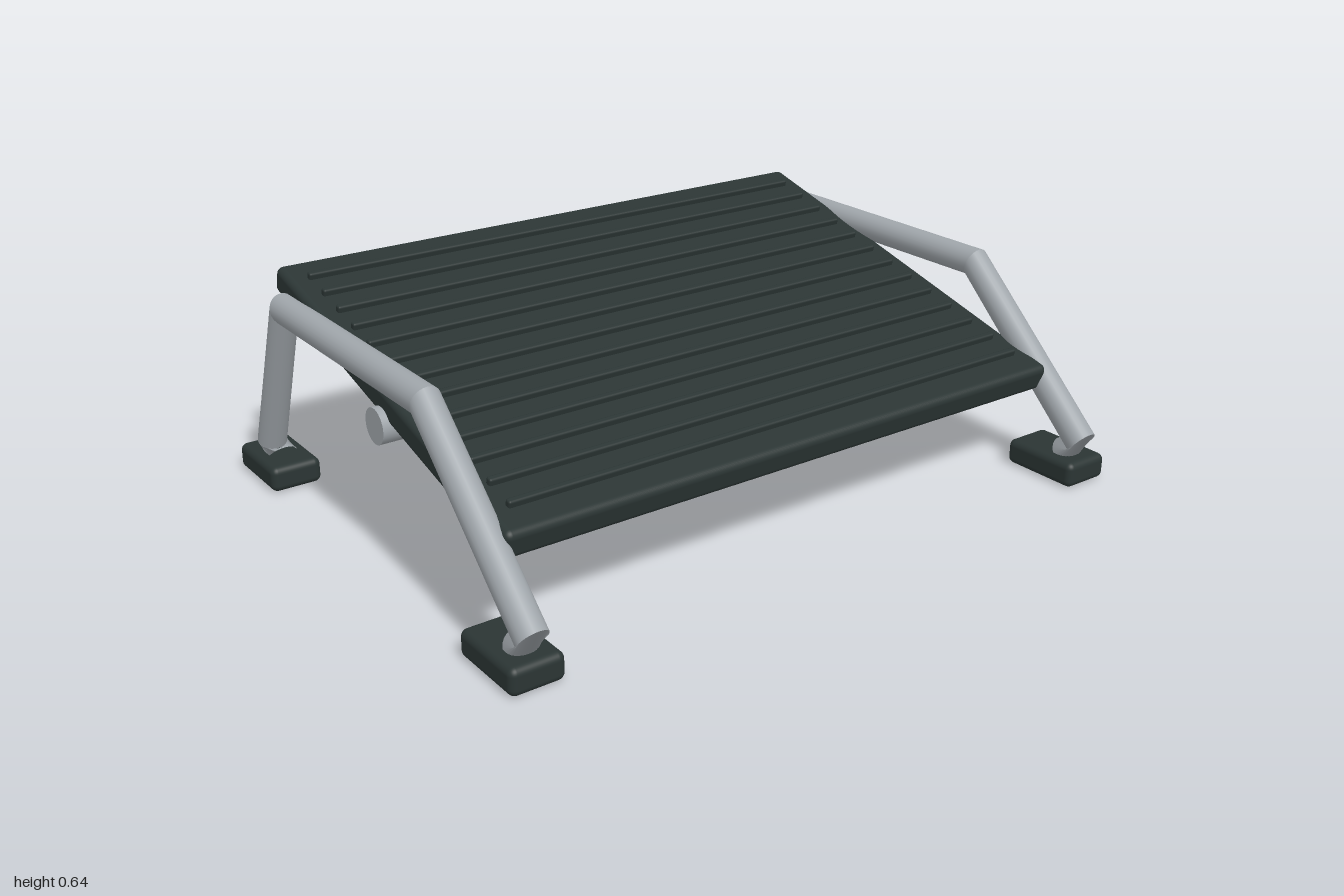
import * as THREE from 'three';
import { RoundedBoxGeometry } from 'three/addons/geometries/RoundedBoxGeometry.js';

const rubber = new THREE.MeshStandardMaterial({ color: 0x2b3534 });
rubber.name = 'dark rubber';
const steel = new THREE.MeshStandardMaterial({ color: 0xa0a6ab, side: THREE.DoubleSide });
steel.name = 'grey steel';

function add(parent, name, geometry, material, x = 0, y = 0, z = 0) {
  const mesh = new THREE.Mesh(geometry, material);
  mesh.name = name;
  mesh.position.set(x, y, z);
  parent.add(mesh);
  return mesh;
}

// Round pipe in the yz plane; each section is [z, y] of its two opposite edge points
function pipeSection(a, b, radius, sides = 24) {
  const pos = [], normals = [], index = [];
  const axis = new THREE.Vector2((b[0][0] + b[1][0] - a[0][0] - a[1][0]) / 2,
    (b[0][1] + b[1][1] - a[0][1] - a[1][1]) / 2).normalize();
  const across = new THREE.Vector2(-axis.y, axis.x);
  const half = new THREE.Vector2(a[0][0] - a[1][0], a[0][1] - a[1][1]);
  if (across.dot(half) < 0) across.negate();
  for (const [outer, inner] of [a, b]) {
    for (let i = 0; i <= sides; i++) {
      const t = (i / sides) * Math.PI * 2, c = Math.cos(t), s = Math.sin(t);
      const k = (1 + c) / 2;
      pos.push(radius * s, inner[1] + (outer[1] - inner[1]) * k, inner[0] + (outer[0] - inner[0]) * k);
      normals.push(s, across.y * c, across.x * c);
    }
  }
  // Keep the outside facing outward whichever way the section runs
  const flip = across.x * axis.y - across.y * axis.x > 0;
  for (let i = 0; i < sides; i++) {
    const p = i, q = i + 1, r = i + sides + 1, u = i + sides + 2;
    if (flip) index.push(p, r, q, q, r, u);
    else index.push(p, q, r, q, u, r);
  }
  const g = new THREE.BufferGeometry();
  g.setAttribute('position', new THREE.Float32BufferAttribute(pos, 3));
  g.setAttribute('normal', new THREE.Float32BufferAttribute(normals, 3));
  g.setIndex(index);
  return g;
}

export function createModel() {
  const model = new THREE.Group();
  model.name = 'footrest';

  // Tilted platform with anti-slip ridges
  const platform = new THREE.Group();
  platform.name = 'platform';
  platform.position.set(0, 0.448, -0.007);
  platform.rotation.x = Math.PI / 12;
  model.add(platform);
  add(platform, 'board', new RoundedBoxGeometry(1.81, 0.08, 1.27, 4, 0.02), rubber);
  const ridge = new RoundedBoxGeometry(1.7, 0.03, 0.02, 2, 0.006);
  for (let i = -6; i <= 6; i++) add(platform, 'ridge', ridge, rubber, 0, 0.043, i * 0.09);

  // Pivot bar under the platform
  add(model, 'pivotBar', new THREE.CylinderGeometry(0.05, 0.05, 1.85, 32).rotateZ(Math.PI / 2), steel, 0, 0.385, 0);

  // Bent side frames: outer and inner edge points from front foot to back foot
  const sections = [
    [[0.709, 0.04], [0.661, 0.11]],
    [[0.775, 0.158], [0.718, 0.086]],
    [[0.302, 0.592], [0.27, 0.508]],
    [[-0.542, 0.592], [-0.512, 0.508]],
    [[-0.748, 0.108], [-0.671, 0.079]],
    [[-0.67, 0.045], [-0.61, 0.105]],
  ];
  const footShape = new RoundedBoxGeometry(0.15, 0.075, 0.24, 4, 0.02);
  for (const side of [-1, 1]) {
    const frame = new THREE.Group();
    frame.name = side > 0 ? 'leftFrame' : 'rightFrame';
    frame.position.x = side * 0.923;
    model.add(frame);
    const names = ['frontEnd', 'frontLeg', 'topRail', 'backLeg', 'backEnd'];
    names.forEach((name, i) => add(frame, name, pipeSection(sections[i], sections[i + 1], 0.042), steel));
    // Rubber feet
    add(frame, 'frontFoot', footShape, rubber, side * 0.002, 0.0425, 0.655);
    add(frame, 'backFoot', footShape, rubber, side * 0.002, 0.0425, -0.655);
  }
  return model;
}
